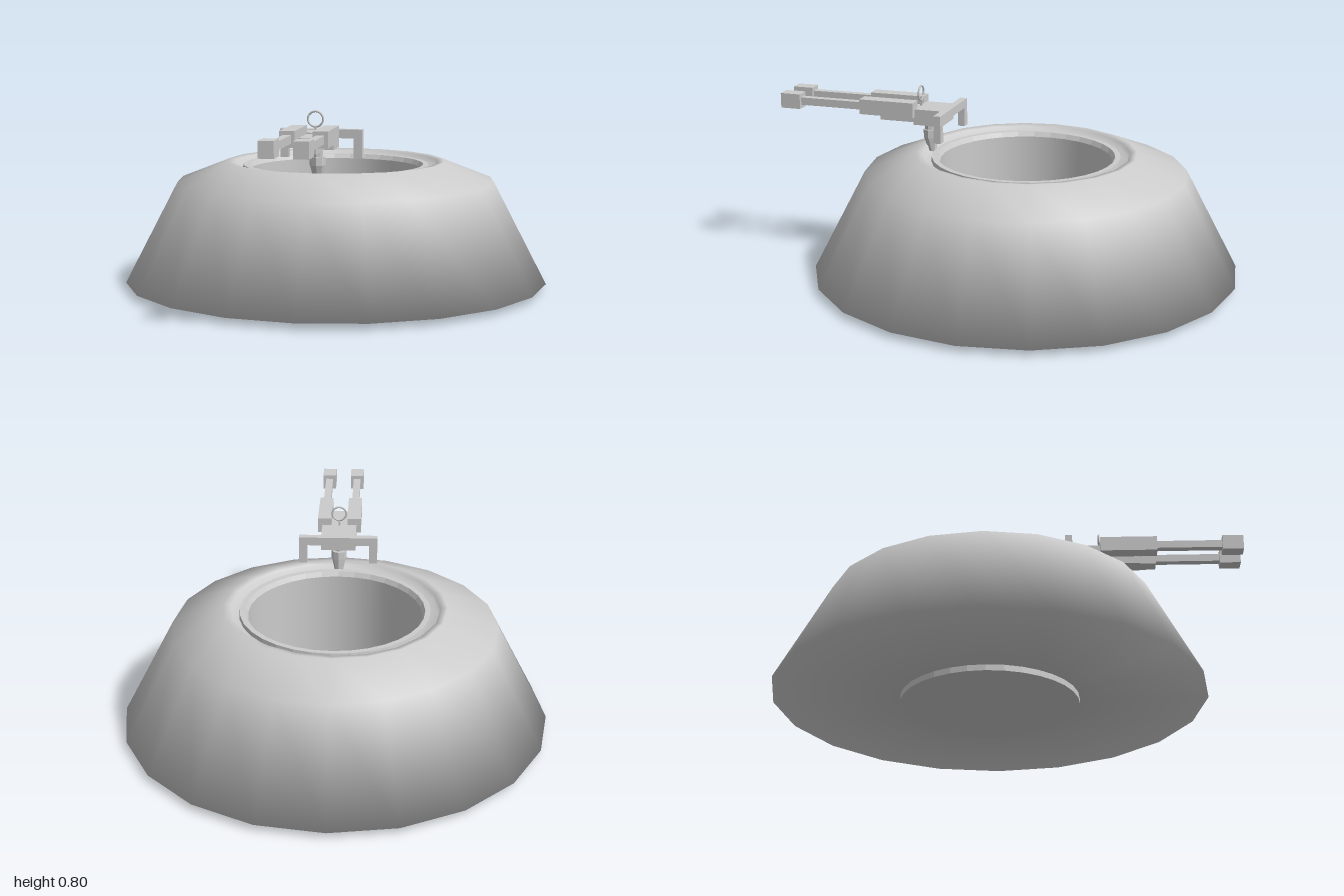
import * as THREE from 'three';

const CZ = -0.09; // centre of the round base along z

export function createModel() {
  const model = new THREE.Group();
  const mat = new THREE.MeshStandardMaterial({ color: 0xcccccc, side: THREE.DoubleSide });
  const flat = mat.clone();
  flat.flatShading = true;

  const add = (name, geo, x = 0, y = 0, z = 0, m = flat, parent = model) => {
    const mesh = new THREE.Mesh(geo, m);
    mesh.name = name;
    mesh.position.set(x, y, z);
    parent.add(mesh);
    return mesh;
  };
  // box given by its limits on each axis
  const box = (name, x0, x1, y0, y1, z0, z1, parent) =>
    add(name, new THREE.BoxGeometry(x1 - x0, y1 - y0, z1 - z0),
      (x0 + x1) / 2, (y0 + y1) / 2, (z0 + z1) / 2, flat, parent);
  const lathe = (name, pts, sides, m) =>
    add(name, new THREE.LatheGeometry(pts.map(p => new THREE.Vector2(...p)), sides), 0, 0, CZ, m);

  // Smooth embankment: closed underside, sloping wall, shoulder and sunken inner ledge
  lathe('embankment', [
    [0.36, 0.025], [0.91, 0.025], [0.685, 0.455], [0.47, 0.54], [0.44, 0.535], [0.435, 0.51], [0.37, 0.505],
  ], 20, mat);

  // Pit lining with a raised lip, a wall and a floor
  lathe('pitLip', [[0.405, 0.49], [0.4, 0.525], [0.377, 0.525], [0.365, 0.505]], 32, flat);
  lathe('pitWall', [[0.365, 0.505], [0.365, 0.025]], 32, mat);
  add('pitFloor', new THREE.CylinderGeometry(0.375, 0.375, 0.025, 32), 0, 0.0125, CZ);

  // Pedestal on the ledge
  const foot = add('pedestalFoot', new THREE.CylinderGeometry(0.032, 0.016, 0.075, 8), 0, 0.537, 0.335);
  foot.rotation.x = 0.15;
  add('pedestalCollar', new THREE.CylinderGeometry(0.033, 0.033, 0.035, 8), 0, 0.587, 0.34);
  add('pedestalNeck', new THREE.CylinderGeometry(0.025, 0.022, 0.04, 8), 0, 0.622, 0.345);

  // Gun cradle and rear yoke
  const gun = new THREE.Group();
  gun.name = 'twinGun';
  model.add(gun);
  box('cradle', -0.075, 0.075, 0.637, 0.705, 0.262, 0.39, gun);
  box('cradleNose', -0.036, 0.036, 0.637, 0.7, 0.39, 0.557, gun);
  box('yokeBar', -0.17, 0.17, 0.672, 0.708, 0.233, 0.264, gun);

  // Mirrored handles, receivers and barrels
  for (const s of [-1, 1]) {
    const side = s > 0 ? 'left' : 'right';
    const x = s * 0.065;
    box(side + 'Handle', s * 0.1525 - 0.0175, s * 0.1525 + 0.0175, 0.59, 0.672, 0.233, 0.264, gun);
    box(side + 'Receiver', x - 0.03, x + 0.03, 0.67, 0.735, 0.385, 0.63, gun);
    box(side + 'Barrel', x - 0.016, x + 0.016, 0.686, 0.719, 0.63, 0.91, gun);
    box(side + 'Muzzle', x - 0.03, x + 0.03, 0.67, 0.735, 0.91, 1.0, gun);
  }

  // Ring sight on a short post
  add('sightRing', new THREE.TorusGeometry(0.031, 0.004, 6, 20), 0, 0.76, 0.382, mat, gun);
  box('sightPost', -0.004, 0.004, 0.7, 0.731, 0.378, 0.386, gun);

  return model;
}
